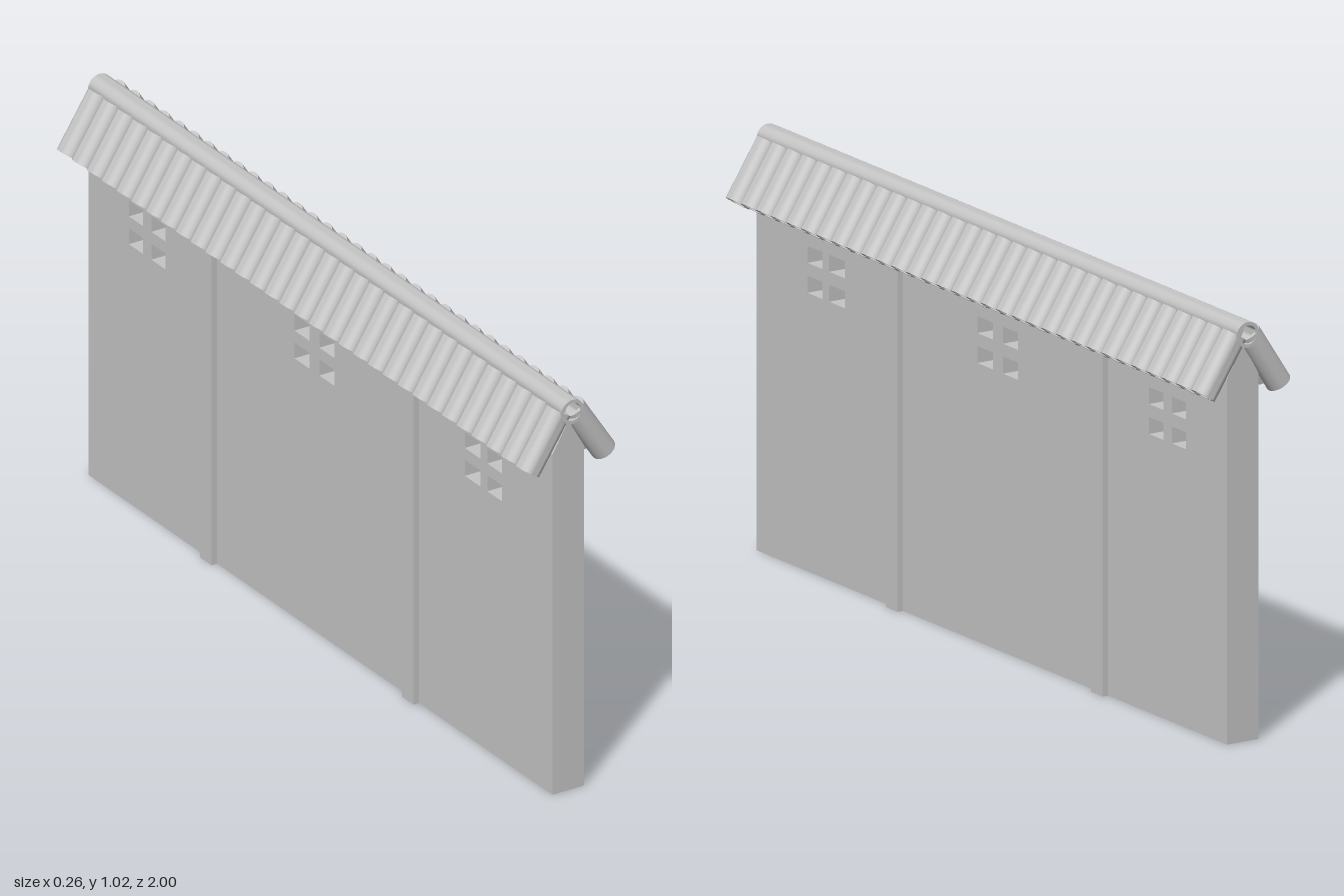
import * as THREE from 'three';
import { toCreasedNormals } from 'three/addons/utils/BufferGeometryUtils.js';

const stone = new THREE.MeshStandardMaterial({ color: 0xc4c4c4 });
stone.name = 'lightGrey';

const WALL_X = -0.003;            // centre line of the wall
const Z_FRONT = 0.985, Z_BACK = -0.975;

function add(group, name, geometry) {
  const mesh = new THREE.Mesh(geometry, stone);
  mesh.name = name;
  group.add(mesh);
  return mesh;
}

// Hollow tube standing on y = 0
function tubeGeometry(outer, inner, length) {
  const profile = [[inner, 0], [outer, 0], [outer, length], [inner, length], [inner, 0]]
    .map(([r, y]) => new THREE.Vector2(r, y));
  return toCreasedNormals(new THREE.LatheGeometry(profile, 24), 0.7);
}

// Rectangle outline given by its limits
function rectangle(path, u0, u1, v0, v1) {
  path.moveTo(u0, v0);
  path.lineTo(u1, v0);
  path.lineTo(u1, v1);
  path.lineTo(u0, v1);
  path.closePath();
  return path;
}

export function createModel() {
  const model = new THREE.Group();
  model.name = 'tiledWall';

  // Wall slab, drawn in (-z, y), with three groups of four openings
  const slab = rectangle(new THREE.Shape(), -Z_FRONT, -Z_BACK, 0, 0.88);
  const columns = [[0.71, 0.772], [0.615, 0.682], [0, 0.065], [-0.105, -0.042], [-0.71, -0.65], [-0.805, -0.745]];
  for (const [z0, z1] of columns) {
    for (const y of [0.67, 0.742]) {
      slab.holes.push(rectangle(new THREE.Path(), -z1, -z0, y, y + 0.041));
    }
  }
  const thickness = 0.088;
  const slabGeometry = new THREE.ExtrudeGeometry(slab, { depth: thickness, bevelEnabled: false });
  slabGeometry.rotateY(Math.PI / 2);
  slabGeometry.translate(WALL_X - thickness / 2, 0, 0);
  add(model, 'wall', slabGeometry);

  // Pointed top of the wall under the tiles
  const gable = new THREE.Shape();
  gable.moveTo(-thickness / 2, 0.88);
  gable.lineTo(thickness / 2, 0.88);
  gable.lineTo(0, 0.957);
  gable.closePath();
  const gableGeometry = new THREE.ExtrudeGeometry(gable, { depth: Z_FRONT - Z_BACK, bevelEnabled: false });
  gableGeometry.translate(WALL_X, 0, Z_BACK);
  add(model, 'wallTop', gableGeometry);

  // Pilasters standing slightly proud on both faces
  for (const z of [0.398, -0.456]) {
    add(model, 'pilaster', new THREE.BoxGeometry(0.119, 0.868, 0.048)).position.set(WALL_X, 0.434, z);
  }

  // Sloping roof tiles on both sides
  const tiles = new THREE.Group();
  tiles.name = 'roofTiles';
  model.add(tiles);
  const tile = tubeGeometry(0.0307, 0.022, 0.16);
  const count = 32;
  for (const side of [1, -1]) {
    for (let i = 0; i < count; i++) {
      const mesh = add(tiles, 'roofTile', tile);
      mesh.position.set(side * 0.105 - 0.001, 0.848, 0.969 - (i * 1.938) / (count - 1));
      mesh.rotation.z = side * 0.575;
    }
  }

  // Ridge tube along the top
  const ridge = add(model, 'ridge', tubeGeometry(0.0315, 0.023, 2));
  ridge.rotation.x = Math.PI / 2;
  ridge.position.set(-0.001, 0.985, -1);

  return model;
}
